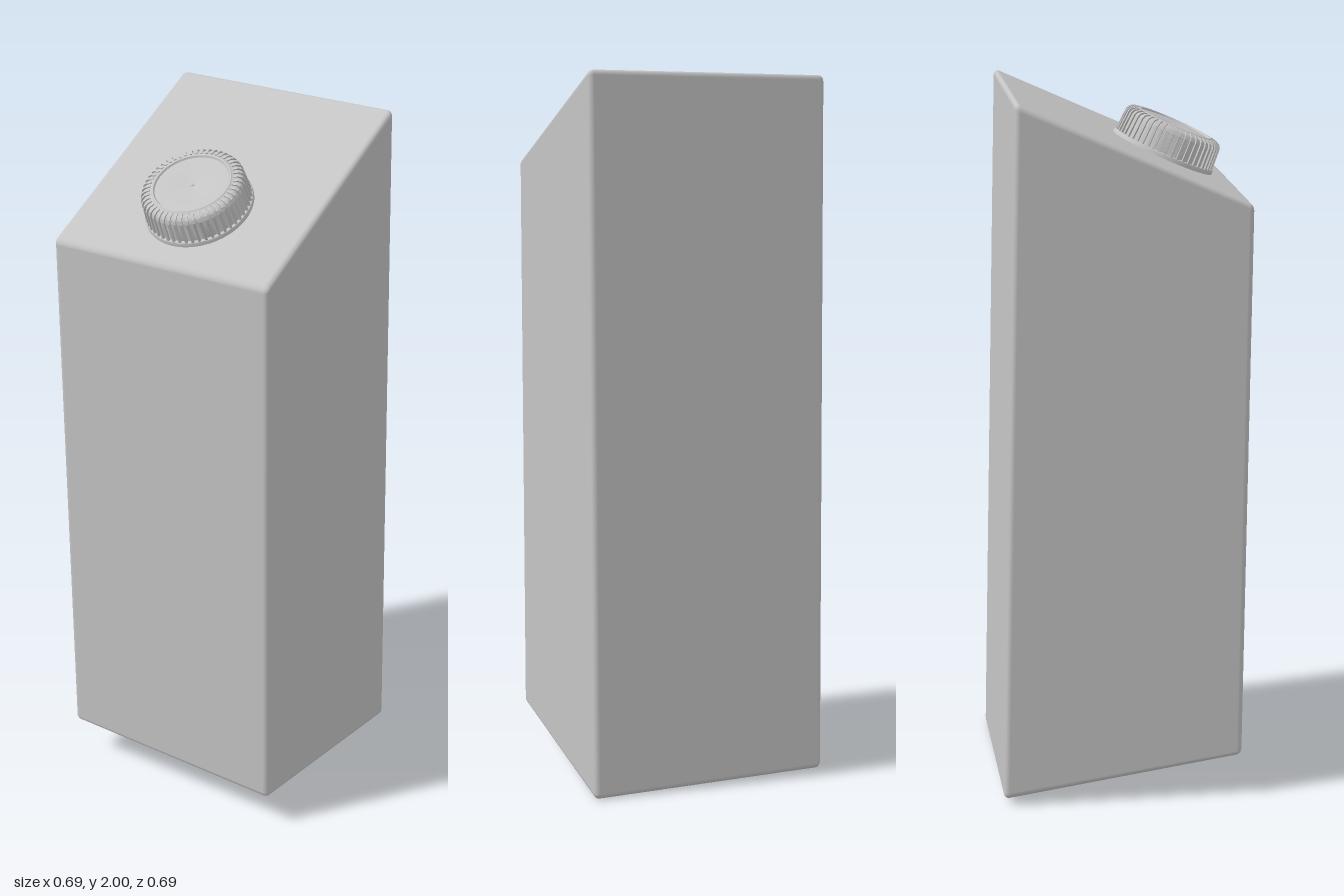
import * as THREE from 'three';
import { mergeGeometries, mergeVertices, toCreasedNormals } from 'three/addons/utils/BufferGeometryUtils.js';
import { RoundedBoxGeometry } from 'three/addons/geometries/RoundedBoxGeometry.js';

const V = (x, y, z) => new THREE.Vector3(x, y, z);

// Rounded box whose eight corners are pulled to a slanted, slightly skewed block
function cartonGeometry() {
  const w = 0.68, h = 1.7, d = 0.68;
  const geo = new RoundedBoxGeometry(w, h, d, 3, 0.016);
  // corners as [bottom, top][back, front][right, left]
  const corners = [
    [[V(-0.337, 0.018, -0.348), V(0.343, -0.002, -0.348)], [V(-0.337, 0.12, 0.332), V(0.343, 0.098, 0.332)]],
    [[V(-0.346, 1.982, -0.3), V(0.335, 2.005, -0.3)], [V(-0.342, 1.697, 0.346), V(0.338, 1.72, 0.346)]],
  ];
  const pos = geo.attributes.position;
  const edge = (pair, t) => pair[0].clone().lerp(pair[1], t);
  for (let i = 0; i < pos.count; i++) {
    const u = pos.getX(i) / w + 0.5, v = pos.getY(i) / h + 0.5, s = pos.getZ(i) / d + 0.5;
    const [low, high] = corners.map(([back, front]) => edge(back, u).lerp(edge(front, u), s));
    const p = low.lerp(high, v);
    pos.setXYZ(i, p.x, p.y, p.z);
  }
  geo.deleteAttribute('uv');
  geo.deleteAttribute('normal');
  geo.clearGroups();
  const smooth = mergeVertices(geo, 1e-5);
  smooth.computeVertexNormals();
  return smooth;
}

// Turned cap with base flange, rounded shoulder, raised rim and centre dimple
function capGeometry() {
  const profile = [
    [0, -0.012], [0.15, -0.012], [0.15, 0.008], [0.148, 0.011], [0.141, 0.013], [0.138, 0.07],
    [0.134, 0.079], [0.126, 0.084], [0.112, 0.087], [0.109, 0.09], [0.105, 0.09], [0.102, 0.085],
    [0.018, 0.085], [0.006, 0.081], [0.004, 0.084], [0, 0.084],
  ].map(([r, y]) => new THREE.Vector2(r, y));
  return toCreasedNormals(new THREE.LatheGeometry(profile, 80), 0.6);
}

// Grip ribs that run up the wall and bend over the shoulder
function ribsGeometry(count) {
  const width = 0.007;
  const outline = new THREE.Shape([
    [0.13, 0.011], [0.147, 0.011], [0.143, 0.072], [0.138, 0.082],
    [0.128, 0.0875], [0.115, 0.089], [0.115, 0.08], [0.13, 0.07],
  ].map(([r, y]) => new THREE.Vector2(r, y)));
  const rib = new THREE.ExtrudeGeometry(outline, { depth: width, bevelEnabled: false });
  rib.translate(0, 0, -width / 2);
  const ribs = [];
  for (let i = 0; i < count; i++) {
    ribs.push(rib.clone().rotateY((i / count) * Math.PI * 2));
  }
  return mergeGeometries(ribs);
}

export function createModel() {
  const model = new THREE.Group();
  model.name = 'carton';
  const grey = new THREE.MeshStandardMaterial({ color: 0xc4c4c4 });
  grey.name = 'light grey';

  const add = (parent, name, geometry) => {
    const mesh = new THREE.Mesh(geometry, grey);
    mesh.name = name;
    parent.add(mesh);
  };

  add(model, 'cartonBody', cartonGeometry());

  // Screw cap standing square on the sloping top
  const cap = new THREE.Group();
  cap.name = 'screwCap';
  cap.position.set(-0.002, 1.798, 0.144);
  cap.rotation.set(0.413, 0, 0.03);
  add(cap, 'capShell', capGeometry());
  add(cap, 'capRibs', ribsGeometry(50));
  model.add(cap);

  return model;
}
